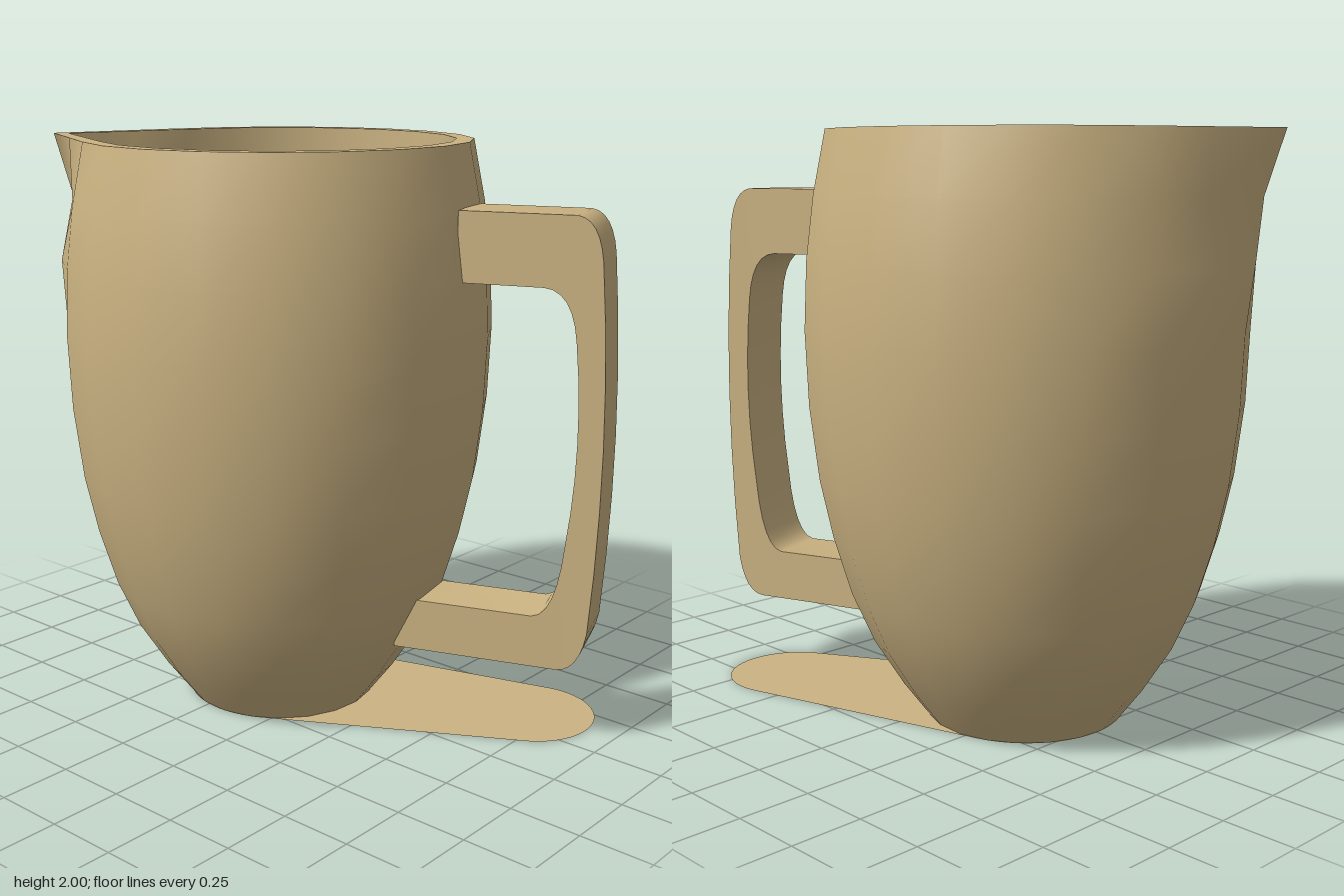
import * as THREE from 'three';
import { toCreasedNormals } from 'three/addons/utils/BufferGeometryUtils.js';

const SIDES = 20;
const RAD = Math.PI / 180;
const SPOUT_ANGLE = 22.6; // spout direction, measured from -x towards +z

// Straight spout side: the radius halfway along the chord from tip to ring
const chord = (tip, r) => 2 * Math.cos(18 * RAD) * tip * r / (tip + r);

// Skin over rings; each row is [y, radius, optional tip radius, optional side radius]
function skin(rows) {
  const positions = [], index = [];
  for (const [y, r, tip = r, side = Math.max(r, chord(tip, r))] of rows) {
    for (let i = 0; i < SIDES; i++) {
      const a = (SPOUT_ANGLE + i * 360 / SIDES) * RAD;
      const radius = i === 0 ? tip : i === 1 || i === SIDES - 1 ? side : r;
      positions.push(-Math.cos(a) * radius, y, Math.sin(a) * radius);
    }
  }
  for (let j = 0; j < rows.length - 1; j++) {
    for (let i = 0; i < SIDES; i++) {
      const a = j * SIDES + i, b = j * SIDES + (i + 1) % SIDES;
      index.push(a, b, b + SIDES, a, b + SIDES, a + SIDES);
    }
  }
  const geometry = new THREE.BufferGeometry();
  geometry.setAttribute('position', new THREE.Float32BufferAttribute(positions, 3));
  geometry.setIndex(index);
  geometry.computeVertexNormals();
  return geometry;
}

export function createModel() {
  const clay = new THREE.MeshStandardMaterial({ color: 0xcbb382 });
  clay.name = 'tanClay';
  const thinClay = clay.clone();
  thinClay.name = 'tanClayDoubleSided';
  thinClay.side = THREE.DoubleSide;

  const model = new THREE.Group();
  model.name = 'pitcher';
  const jug = new THREE.Group();
  jug.name = 'jug';
  jug.position.x = -0.2;
  model.add(jug);
  const add = (parent, name, geometry, material = clay) => {
    const mesh = new THREE.Mesh(geometry, material);
    mesh.name = name;
    parent.add(mesh);
  };

  // Bulging outer wall, flaring into the spout near the rim
  add(jug, 'outerWall', skin([
    [0, 0.34], [0.12, 0.43], [0.28, 0.53], [0.45, 0.605], [0.65, 0.665],
    [0.85, 0.708], [1.1, 0.738], [1.35, 0.748], [1.58, 0.738, 0.775, 0.76],
    [1.79, 0.712, 0.795], [2, 0.67, 0.86],
  ]));
  // Flat rim
  add(jug, 'rim', skin([[2, 0.67, 0.86], [2, 0.61, 0.8]]));
  // Straight inner wall with the sloping spout channel, and the floor
  add(jug, 'innerWall', skin([[2, 0.61, 0.8], [1.6, 0.61], [0.5, 0.61]]));
  add(jug, 'innerFloor', skin([[0.5, 0.61], [0.5, 0.001]]));

  // Handle and base plate point away from the spout
  const back = new THREE.Group();
  back.name = 'handleSide';
  back.rotation.y = 20 * RAD;
  jug.add(back);

  // Square-section handle with a bowed grip
  const grip = new THREE.Shape();
  grip.moveTo(0.5, 0.28);
  grip.lineTo(1.07, 0.28);
  grip.quadraticCurveTo(1.145, 0.285, 1.168, 0.42);
  grip.quadraticCurveTo(1.22, 1.06, 1.165, 1.66);
  grip.quadraticCurveTo(1.15, 1.79, 1.08, 1.8);
  grip.lineTo(0.695, 1.8);
  grip.lineTo(0.695, 1.568);
  grip.lineTo(0.98, 1.568);
  grip.quadraticCurveTo(1.075, 1.565, 1.092, 1.4);
  grip.quadraticCurveTo(1.13, 1.06, 1.083, 0.72);
  grip.quadraticCurveTo(1.06, 0.47, 0.98, 0.46);
  grip.lineTo(0.5, 0.46);
  const handle = new THREE.ExtrudeGeometry(grip, { depth: 0.22, bevelEnabled: false, curveSegments: 6 });
  handle.translate(0, 0, -0.04);
  add(back, 'handle', toCreasedNormals(handle, 0.6));

  // Paper-thin base plate: the foot circle stretched to a tongue under the handle
  const tongue = new THREE.Shape();
  const tilt = 3 * RAD, tangent = 83 * RAD;
  tongue.absarc(0, 0, 0.34, tilt + tangent, tilt - tangent + 2 * Math.PI, false);
  tongue.absarc(0.935, 0.05, 0.23, tilt - tangent, tilt + tangent, false);
  const plate = new THREE.ShapeGeometry(tongue, 16);
  plate.rotateX(-Math.PI / 2);
  add(back, 'basePlate', plate, thinClay);

  return model;
}
